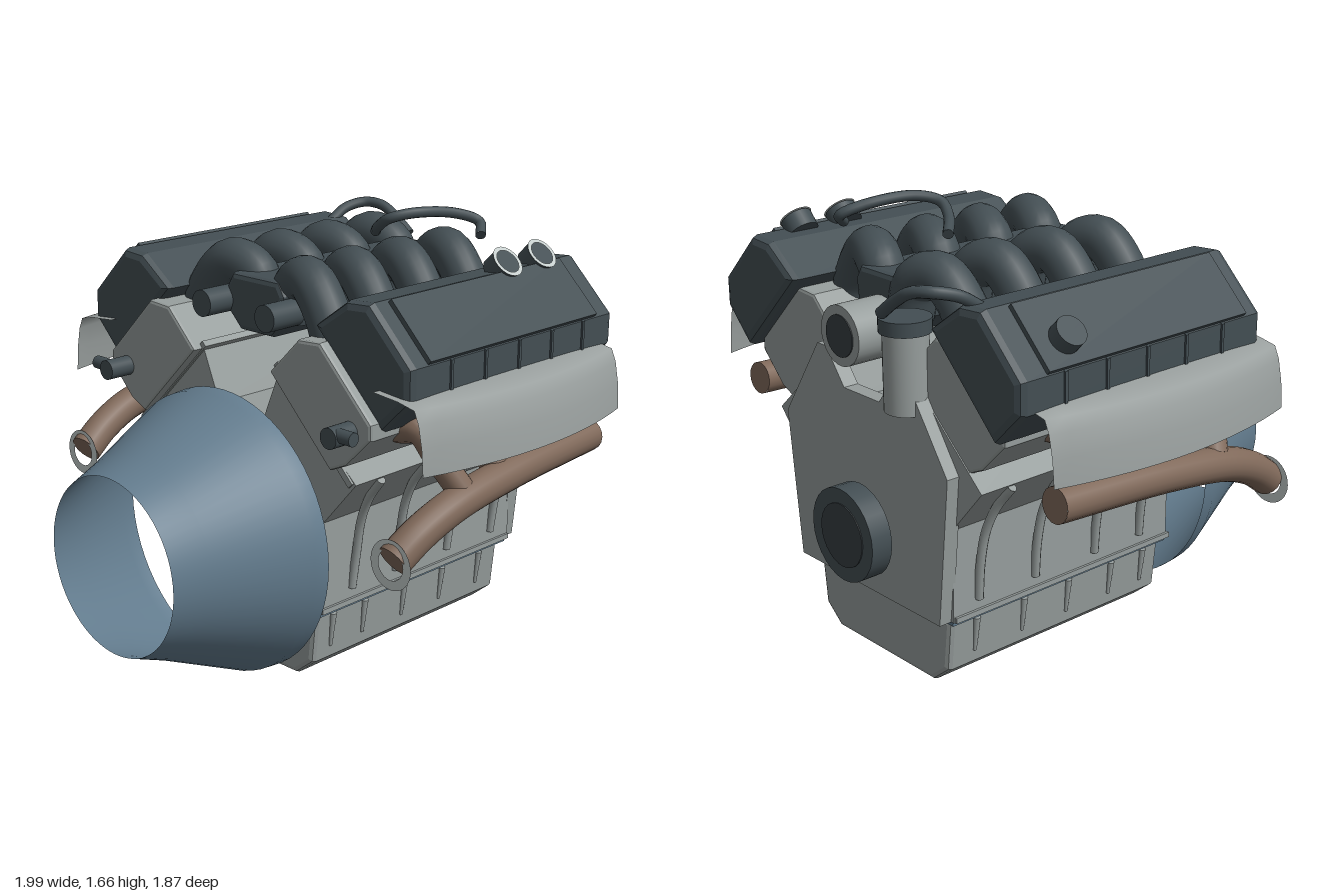
import * as THREE from 'three';
import { mergeGeometries } from 'three/addons/utils/BufferGeometryUtils.js';

const mat = (name, color, side = THREE.FrontSide) => {
  const m = new THREE.MeshStandardMaterial({ color, side });
  m.name = name;
  return m;
};

export function createModel() {
  const grey = mat('cast grey', 0x969d9c);
  const dark = mat('dark slate', 0x434e53);
  const blue = mat('housing blue', 0x637c8e, THREE.DoubleSide);
  const brown = mat('exhaust brown', 0x80695a);
  const black = mat('black', 0x363d41);
  const pale = mat('pale metal', 0xc6cecd, THREE.DoubleSide);
  const shieldGrey = mat('shield grey', 0x9aa09f, THREE.DoubleSide);
  const model = new THREE.Group();
  model.name = 'engine';

  const V = (p) => new THREE.Vector3(...p);
  const add = (name, geo, material) => {
    const m = new THREE.Mesh(geo, material);
    m.name = name;
    model.add(m);
    return m;
  };
  // Section in x,y pushed along z
  const extrude = (name, pts, z0, z1, material, bevel = 0) => {
    const shape = new THREE.Shape(pts.map(([x, y]) => new THREE.Vector2(x, y)));
    const geo = new THREE.ExtrudeGeometry(shape, {
      depth: z1 - z0 - 2 * bevel, bevelEnabled: bevel > 0, bevelSize: bevel,
      bevelThickness: bevel, bevelOffset: -bevel, bevelSegments: 2,
    });
    geo.translate(0, 0, z0 + bevel);
    return add(name, geo, material);
  };
  const mirrored = (half) => [...half, ...half.slice().reverse().map(([x, y]) => [-x, y])];
  // Straight cylinder between two points
  const rod = (name, a, b, r, material, r2 = r) => {
    const A = V(a), B = V(b), d = B.clone().sub(A);
    const m = add(name, new THREE.CylinderGeometry(r2, r, d.length(), 28), material);
    m.position.copy(A).add(B).multiplyScalar(0.5);
    m.quaternion.setFromUnitVectors(new THREE.Vector3(0, 1, 0), d.normalize());
    return m;
  };
  // Bent pipe with closed ends
  const pipe = (name, pts, r, material, segs = 28, sides = 18) => {
    const curve = new THREE.CatmullRomCurve3(pts.map(V));
    const parts = [new THREE.TubeGeometry(curve, segs, r, sides)];
    for (const t of [0, 1]) {
      const dir = curve.getTangentAt(t).multiplyScalar(t ? 1 : -1);
      const q = new THREE.Quaternion().setFromUnitVectors(new THREE.Vector3(0, 0, 1), dir);
      const p = curve.getPointAt(t);
      parts.push(new THREE.CircleGeometry(r, sides).applyQuaternion(q).translate(p.x, p.y, p.z));
    }
    return add(name, mergeGeometries(parts), material);
  };

  // Bell housing: open tapered shell
  const bell = new THREE.LatheGeometry(
    [[0.535, 0.40], [0.53, 0.46], [0.38, 0.80], [0.33, 0.935]].map(([r, z]) => new THREE.Vector2(r, z)), 64);
  add('bellHousing', bell.rotateX(Math.PI / 2).translate(0, 0.54, 0), blue);

  // Block, gasket, oil pan and timing cover
  extrude('block', mirrored([[0.42, 0.3], [0.42, 0.65], [0.575, 0.83], [0.2, 1.17], [0.12, 0.98]]), -0.75, 0.31, grey);
  extrude('panGasket', mirrored([[0.41, 0.282], [0.41, 0.302]]), -0.745, 0.315, blue);
  extrude('panRail', mirrored([[0.43, 0.3], [0.43, 0.32]]), -0.745, 0.32, grey);
  extrude('oilPan', mirrored([[0.28, 0.015], [0.365, 0.085], [0.385, 0.285]]), -0.735, 0.31, grey, 0.02);
  extrude('timingCover', mirrored([[0.405, 0.3], [0.46, 0.86], [0.25, 1.17], [0.2, 1.17], [0.1, 1.04]]),
    -0.80, -0.74, grey);

  // Front plate behind the bell housing: disc cut flat at the bottom
  const plate = [];
  for (let i = 0; i <= 48; i++) {
    const a = -0.84 + (i / 48) * (Math.PI + 1.68);
    plate.push([0.325 * Math.cos(a), 0.54 + 0.325 * Math.sin(a)]);
  }
  extrude('frontPlate', plate, 0.30, 0.385, grey);
  add('frontPlateRing', new THREE.TorusGeometry(0.14, 0.008, 10, 48).translate(0, 0.54, 0.395), blue);
  rod('frontHub', [0, 0.54, 0.36], [0, 0.54, 0.40], 0.135, grey);
  for (let k = 0; k < 8; k++) {
    const a = (-36 + 36 * k) * Math.PI / 180;
    const rib = add('plateRib', new THREE.BoxGeometry(0.11, 0.014, 0.03), grey);
    rib.position.set(0.22 * Math.cos(a), 0.54 + 0.22 * Math.sin(a), 0.39);
    rib.rotation.z = a;
  }

  // Crank pulley, water outlet and oil filler neck at the back
  rod('crankHub', [0, 0.54, -0.79], [0, 0.54, -0.83], 0.1, grey);
  rod('crankPulley', [0, 0.54, -0.82], [0, 0.54, -0.905], 0.175, dark);
  rod('pulleyFace', [0, 0.54, -0.90], [0, 0.54, -0.909], 0.12, black);
  rod('waterOutlet', [0, 1.27, -0.70], [0, 1.27, -0.88], 0.108, grey);
  rod('waterOutletFace', [0, 1.27, -0.875], [0, 1.27, -0.884], 0.075, black);
  rod('fillerNeck', [-0.225, 1.04, -0.775], [-0.225, 1.33, -0.775], 0.08, grey);
  rod('fillerNeckCap', [-0.225, 1.32, -0.775], [-0.225, 1.37, -0.775], 0.092, dark);

  // Plenum between the banks
  extrude('plenum', mirrored([[0.08, 1.25], [0.14, 1.31], [0.15, 1.41], [0.12, 1.46]]), -0.70, 0.24, dark, 0.02);

  for (const s of [1, -1]) {
    // Bank axes: u along the cylinder, v across it, both at 45 degrees
    const uv = (u, v) => [s * (u + v) * Math.SQRT1_2, (u - v) * Math.SQRT1_2];
    const bank = (pts) => pts.map(([u, v]) => uv(u, v));
    const X = (pts) => pts.map(([x, y, z]) => [s * x, y, z]);

    // Cylinder head, valve cover and its raised panel
    extrude('deckFlange', bank([[0.965, -0.19], [0.99, -0.19], [0.99, -0.71], [0.965, -0.71]]), -0.745, 0.32, grey);
    extrude('cylinderHead', bank([[0.97, -0.27], [1.05, -0.24], [1.21, -0.24], [1.25, -0.28], [1.25, -0.62],
      [1.17, -0.69], [0.97, -0.69]]), -0.745, 0.36, grey, 0.012);
    extrude('valveCover', bank([[1.235, -0.25], [1.42, -0.25], [1.50, -0.33], [1.50, -0.60], [1.42, -0.67],
      [1.235, -0.70]]), -0.805, 0.325, dark, 0.03);
    extrude('coverPanel', bank([[1.49, -0.335], [1.518, -0.335], [1.518, -0.59], [1.49, -0.59]]), -0.69, 0.235, dark);
    for (const z of [0.12, -0.06, -0.245, -0.43, -0.615])
      extrude('coverRib', bank([[1.38, -0.25], [1.42, -0.24], [1.505, -0.325], [1.49, -0.36]]), z - 0.006, z + 0.006, dark);

    // Heat shield: bent sheet, bulging at mid length
    const section = [[0.71, 1.20], [0.85, 1.19], [0.94, 1.175], [0.965, 1.13], [0.985, 1.05], [0.995, 0.955]];
    const sheet = new THREE.PlaneGeometry(1, 1, 16, section.length - 1);
    const pos = sheet.attributes.position;
    for (let i = 0; i < pos.count; i++) {
      const t = pos.getX(i) * 2;
      const [x, y] = section[Math.round((0.5 - pos.getY(i)) * (section.length - 1))];
      pos.setXYZ(i, s * (x - 0.08 * t * t * (x - 0.6) / 0.4), y, -0.195 - s * t * 0.55);
    }
    sheet.computeVertexNormals();
    add('heatShield', sheet, shieldGrey);

    // Exhaust collector, its runners and end flange
    pipe('exhaustCollector', X([[0.84, 0.855, -0.67], [0.86, 0.83, -0.17], [0.86, 0.785, 0.13],
      [0.845, 0.72, 0.29], [0.83, 0.65, 0.395]]), 0.063, brown, 36);
    for (const z of [0.12, -0.1, -0.33, -0.55])
      pipe('exhaustRunner', X([[0.64, 1.02, z + 0.05], [0.73, 1.03, z + 0.04], [0.78, 0.95, z + 0.01],
        [0.85, 0.83, z - 0.04]]), 0.05, brown, 14, 14);
    const flange = add('exhaustFlange', new THREE.RingGeometry(0.055, 0.09, 36), pale);
    flange.position.set(s * 0.83, 0.64, 0.41);

    // Intake runners arching over to the plenum
    const skew = s > 0 ? 0.065 : 0.03;
    for (const z of [-0.62, -0.365, -0.11, 0.13]) {
      const inner = z + s * 0.015;
      pipe('intakeRunner', X([[0.385, 1.19, inner + skew], [0.355, 1.34, inner + skew],
        [0.23, 1.475, inner + skew * 0.6], [0.12, 1.44, inner], [0.08, 1.32, inner]]), 0.083, dark, 24, 20);
    }
    rod('plenumPort', [s * 0.165, 1.355, 0.20], [s * 0.165, 1.355, 0.35], 0.05, dark);

    // Front sensors
    rod('sensor', [s * 0.59, 1.04, 0.34], [s * 0.59, 1.04, 0.465], 0.038, dark);
    rod('sensorPlug', [s * 0.59, 1.05, 0.435], [s * 0.68, 1.05, 0.435], 0.025, dark);

    // Block side ribs and pan bosses
    for (const z of [0.16, -0.075, -0.37, -0.635])
      pipe('blockRib', X([[0.42, 0.36, z], [0.437, 0.5, z - 0.005], [0.462, 0.63, z], [0.51, 0.735, z + 0.01],
        [0.575, 0.82, z + 0.02]]), 0.017, grey, 16, 10);
    for (const z of [0.22, 0.05, -0.17, -0.39, -0.615])
      rod('panBoss', [s * 0.37, 0.13, z], [s * 0.384, 0.265, z], 0.007, grey, 0.014);
  }

  // Ringed caps on the left cover, filler cap on the right one
  for (const z of [-0.4, -0.6]) {
    rod('coverCap', [0.595, 1.472, z], [0.64, 1.517, z], 0.06, dark);
    const ring = add('coverCapRing', new THREE.RingGeometry(0.048, 0.064, 32), pale);
    ring.position.set(0.643, 1.52, z);
    ring.lookAt(1.643, 2.52, z);
  }
  rod('fillerCap', [-0.73, 1.335, -0.57], [-0.808, 1.413, -0.57], 0.056, dark);

  // Hoses
  pipe('vacuumHose', [[0, 1.54, -0.40], [0.08, 1.58, -0.33], [0.15, 1.62, -0.31], [0.21, 1.64, -0.38],
    [0.27, 1.625, -0.55], [0.32, 1.59, -0.63], [0.37, 1.55, -0.58]], 0.02, dark, 48, 12);
  pipe('breatherHose', [[-0.55, 1.46, -0.72], [-0.54, 1.51, -0.80], [-0.50, 1.53, -0.88], [-0.43, 1.52, -0.91],
    [-0.36, 1.48, -0.915], [-0.28, 1.42, -0.915]], 0.021, dark, 40, 12);

  return model;
}
